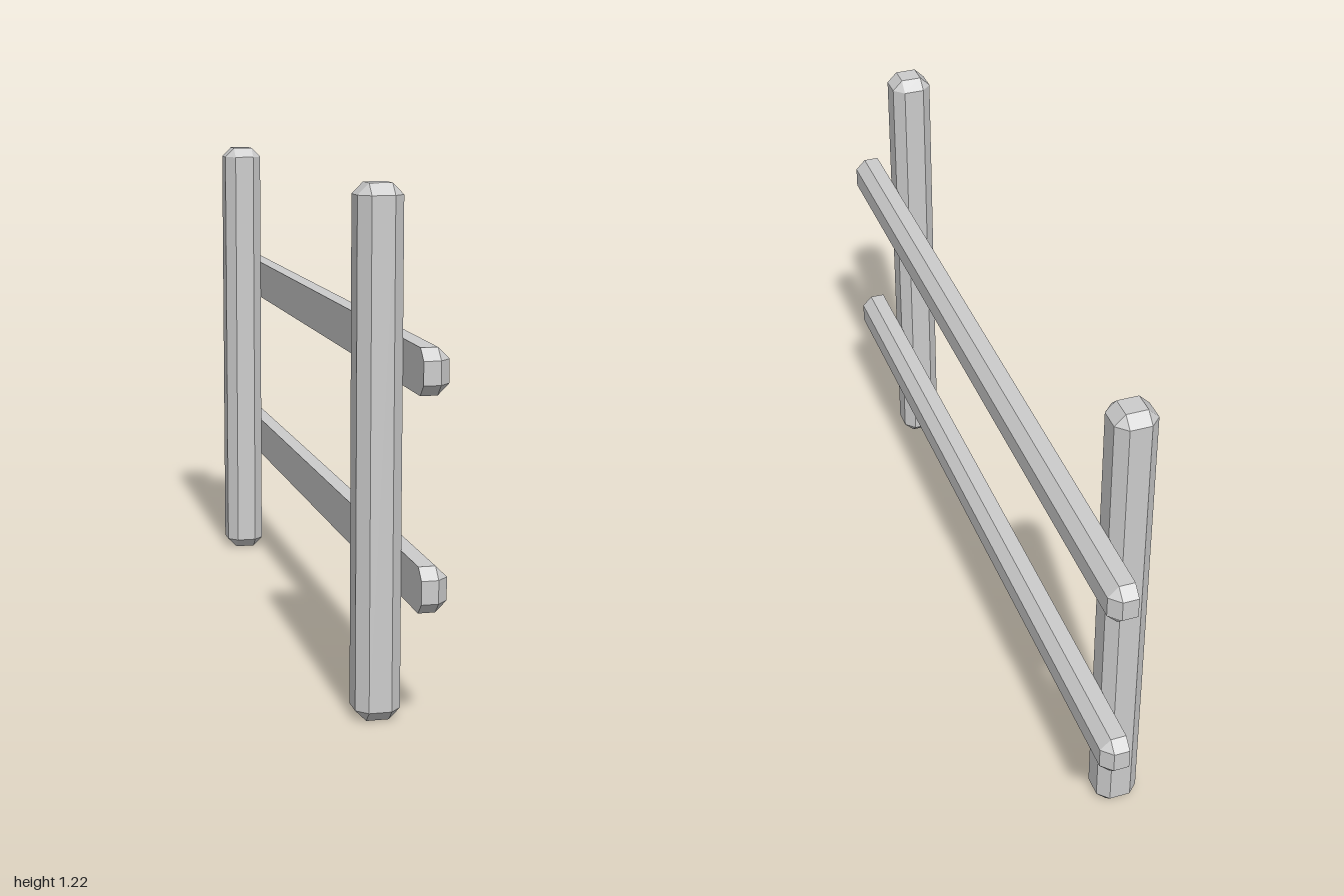
import * as THREE from 'three';
import { ConvexGeometry } from 'three/addons/geometries/ConvexGeometry.js';

const BEVEL = 0.026;
const HALF = 0.0525; // half thickness of posts and rails

// Corner points of a box with every edge bevelled
function bevelledBoxPoints(hx, hy, hz, b) {
  const points = [];
  for (const sx of [-1, 1]) for (const sy of [-1, 1]) for (const sz of [-1, 1]) {
    points.push(
      new THREE.Vector3(sx * hx, sy * (hy - b), sz * (hz - b)),
      new THREE.Vector3(sx * (hx - b), sy * hy, sz * (hz - b)),
      new THREE.Vector3(sx * (hx - b), sy * (hy - b), sz * hz)
    );
  }
  return points;
}

export function createModel() {
  const model = new THREE.Group();
  model.name = 'fence';
  const material = new THREE.MeshStandardMaterial({ color: 0xcccccc, flatShading: true });

  const add = (name, geometry, x, y, z) => {
    const mesh = new THREE.Mesh(geometry, material);
    mesh.name = name;
    mesh.position.set(x, y, z);
    model.add(mesh);
  };

  // Upright posts, bevelled all round
  const postHeight = 1.217;
  const post = new ConvexGeometry(bevelledBoxPoints(HALF, postHeight / 2, HALF, BEVEL));
  add('frontPost', post, -0.0325, postHeight / 2, 0.808);
  add('backPost', post, -0.0325, postHeight / 2, -0.793);

  // Half-round rails: outer edges bevelled, inner side cut flat against the posts
  const depth = 0.065;
  const railPoints = bevelledBoxPoints(depth, HALF, 1, BEVEL)
    .filter((p) => p.x > 0)
    .concat(bevelledBoxPoints(depth, HALF, 1, BEVEL)
      .filter((p) => p.x > 0 && p.x < depth - BEVEL / 2)
      .map((p) => p.setX(0)));
  const rail = new ConvexGeometry(railPoints);
  add('lowerRail', rail, 0.02, 0.341, 0);
  add('upperRail', rail, 0.02, 0.823, 0);

  return model;
}
